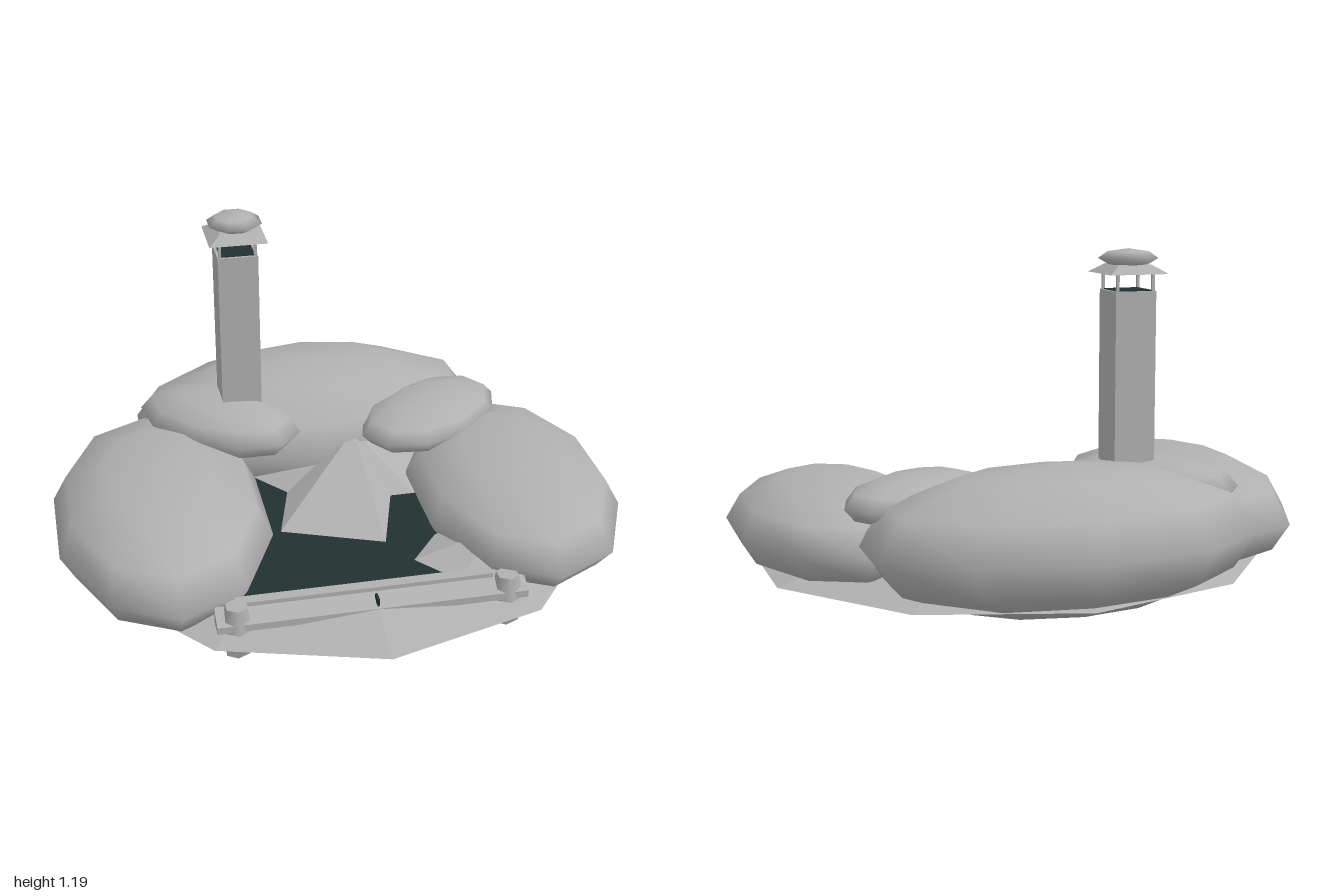
import * as THREE from 'three';

const stone = new THREE.MeshStandardMaterial({ color: 0xb0b0b0, name: 'stone grey', side: THREE.DoubleSide });
const water = new THREE.MeshStandardMaterial({ color: 0x223030, name: 'dark water', side: THREE.DoubleSide });

export function createModel() {
  const model = new THREE.Group();
  model.name = 'rockPool';

  const add = (name, geometry, x = 0, y = 0, z = 0, material = stone) => {
    const mesh = new THREE.Mesh(geometry, material);
    mesh.name = name;
    mesh.position.set(x, y, z);
    model.add(mesh);
    return mesh;
  };
  const box = (name, w, h, d, x, y, z, material) => add(name, new THREE.BoxGeometry(w, h, d), x, y, z, material);

  // Smooth, ten-sided boulders with a vertex pointing along z
  const boulder = (name, pos, radii, turn = 0) => {
    const geo = new THREE.SphereGeometry(1, 10, 6).rotateY(Math.PI / 2);
    geo.scale(...radii);
    add(name, geo, ...pos).rotation.y = turn;
  };
  boulder('leftBoulder', [0.65, 0.21, 0.13], [0.37, 0.178, 0.6]);
  boulder('rightBoulder', [-0.63, 0.21, 0.07], [0.39, 0.208, 0.64]);
  boulder('backBoulder', [0.02, 0.25, -0.51], [0.7, 0.25, 0.4]);
  boulder('leftSmallBoulder', [0.43, 0.357, -0.225], [0.32, 0.088, 0.2], 0.6);
  boulder('rightSmallBoulder', [-0.36, 0.37, -0.315], [0.33, 0.107, 0.2], -0.7);

  // Ten-sided ground slab with a sloping rim
  const slab = new THREE.CylinderGeometry(0.62, 0.86, 0.07, 10).toNonIndexed();
  slab.computeVertexNormals();
  slab.scale(1.1, 1, 1);
  add('groundSlab', slab, 0.02, 0.122, 0.04).rotation.x = -0.012;

  // Pool surface
  const pool = new THREE.Shape([[-0.46, 0.62], [0.42, 0.62], [0.52, -0.3], [-0.46, -0.3]]
    .map(([x, z]) => new THREE.Vector2(x, -z)));
  add('poolWater', new THREE.ShapeGeometry(pool).rotateX(-Math.PI / 2), 0, 0.172, 0, water);

  // Faceted banks: a fan from a peak down to the waterline
  const bank = (name, peak, rim) => {
    const verts = [];
    for (let i = 0; i < rim.length - 1; i++) {
      const [a, b] = [rim[i], rim[i + 1]];
      verts.push(...peak, a[0], 0.174, a[1], b[0], 0.174, b[1]);
    }
    const geo = new THREE.BufferGeometry();
    geo.setAttribute('position', new THREE.Float32BufferAttribute(verts, 3));
    geo.computeVertexNormals();
    add(name, geo);
  };
  bank('backBank', [0.13, 0.33, -0.2],
    [[-0.3, -0.25], [-0.15, -0.06], [-0.22, 0.2], [0.13, 0.34], [0.22, 0.04], [0.31, 0.04], [0.5, -0.1], [0.5, -0.3]]);
  bank('leftBank', [0.5, 0.25, 0.45], [[0.5, 0.2], [0.31, 0.33], [0.2, 0.47], [0.32, 0.62], [0.52, 0.66]]);

  // Front sill: upper rail, sloping lower lip and latch
  box('sillRail', 0.88, 0.06, 0.04, -0.01, 0.17, 0.62);
  const lip = new THREE.Shape([[0.63, 0.19], [0.7, 0.155], [0.7, 0.13], [0.63, 0.13]]
    .map(([z, y]) => new THREE.Vector2(-z, y)));
  const lipGeo = new THREE.ExtrudeGeometry(lip, { depth: 1.06, bevelEnabled: false });
  add('sillLip', lipGeo.rotateY(Math.PI / 2), -0.52, 0, 0);
  box('sillLatch', 0.008, 0.025, 0.04, 0.02, 0.178, 0.68, water);

  // Sill end posts and sloping six-sided drain stubs
  for (const x of [-0.45, 0.475]) {
    const post = new THREE.CylinderGeometry(0.04, 0.055, 0.085, 6);
    add('sillPost', post, x, 0.165, 0.66);
    const drain = new THREE.CylinderGeometry(0.045, 0.045, 0.3, 6);
    add('drainStub', drain, x, 0.09, 0.545).rotation.x = Math.PI / 2 + 0.27;
  }

  // Square chimney with a dark flue
  const cx = -0.28, cz = -0.33;
  box('chimneyShaft', 0.146, 0.7, 0.146, cx, 0.695, cz);
  box('flueOpening', 0.125, 0.004, 0.125, cx, 1.046, cz, water);
  for (const sx of [-1, 1]) for (const sz of [-1, 1])
    box('cowlPost', 0.01, 0.07, 0.01, cx + sx * 0.064, 1.075, cz + sz * 0.064);

  // Flared square hood and rounded octagonal cap
  const hood = new THREE.CylinderGeometry(0.085, 0.148, 0.03, 4).rotateY(Math.PI / 4).toNonIndexed();
  hood.computeVertexNormals();
  add('chimneyHood', hood, cx, 1.118, cz);
  const cap = [[0, 1.122], [0.06, 1.128], [0.102, 1.153], [0.07, 1.176], [0, 1.186]]
    .map(([r, y]) => new THREE.Vector2(r, y));
  add('chimneyCap', new THREE.LatheGeometry(cap, 8, Math.PI / 8), cx, 0, cz);

  return model;
}
